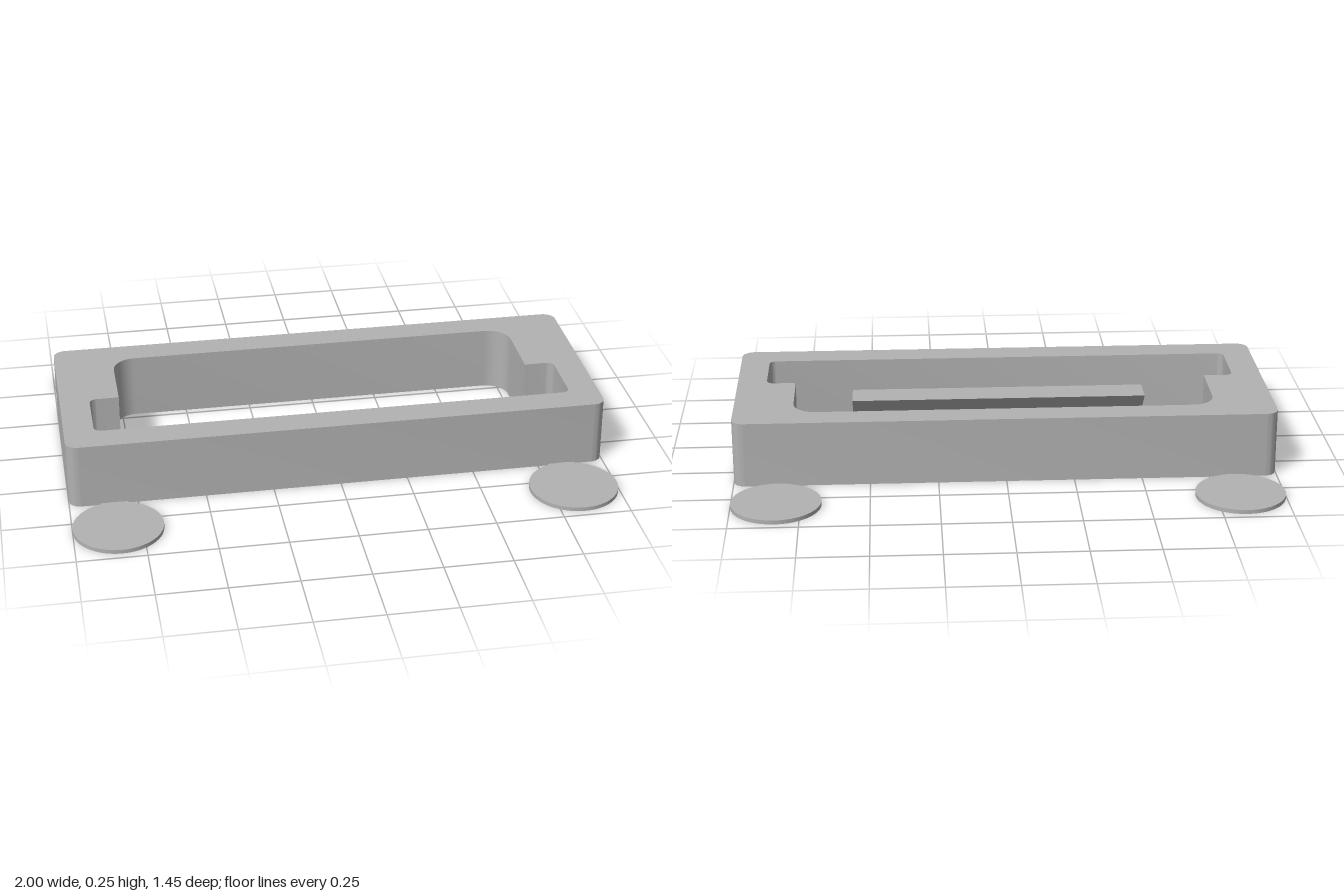
import * as THREE from 'three';
import { toCreasedNormals } from 'three/addons/utils/BufferGeometryUtils.js';

const HALF_DEPTH = 0.384;
const HEIGHT = 0.245;

// Trace a closed outline from [x, z, cornerRadius] points, rounding each corner
function roundedOutline(path, points) {
  const n = points.length;
  points.forEach(([x, z, r], i) => {
    const corner = new THREE.Vector2(x, -z);
    const toward = ([px, pz]) =>
      new THREE.Vector2(px, -pz).sub(corner).setLength(r).add(corner);
    const a = r ? toward(points[(i + n - 1) % n]) : corner;
    const b = r ? toward(points[(i + 1) % n]) : corner;
    if (i === 0) path.moveTo(a.x, a.y);
    else path.lineTo(a.x, a.y);
    if (r) {
      // Cubic handles approximating a quarter circle
      const c1 = a.clone().lerp(corner, 0.5523);
      const c2 = b.clone().lerp(corner, 0.5523);
      path.bezierCurveTo(c1.x, c1.y, c2.x, c2.y, b.x, b.y);
    }
  });
  path.closePath();
  return path;
}

export function createModel() {
  const group = new THREE.Group();
  const grey = new THREE.MeshStandardMaterial({ color: 0xb2b2b2 });
  grey.name = 'grey plastic';

  const add = (name, geometry, x = 0, y = 0, z = 0) => {
    const mesh = new THREE.Mesh(geometry, grey);
    mesh.name = name;
    mesh.position.set(x, y, z);
    group.add(mesh);
    return mesh;
  };

  // Frame: rounded block with a stepped opening right through it
  const outline = roundedOutline(new THREE.Shape(), [
    [-1, HALF_DEPTH, 0.045], [1, HALF_DEPTH, 0.045],
    [1, -HALF_DEPTH, 0.045], [-1, -HALF_DEPTH, 0.045],
  ]);
  outline.holes.push(roundedOutline(new THREE.Path(), [
    [-0.89, 0.273, 0.027], [-0.89, 0.03, 0.027], [-0.78, 0.03, 0],
    [-0.78, -0.277, 0.085], [0.78, -0.277, 0.085], [0.78, 0.03, 0],
    [0.89, 0.03, 0.027], [0.89, 0.273, 0.027],
  ]));
  const frame = new THREE.ExtrudeGeometry(outline, {
    depth: HEIGHT, bevelEnabled: false, curveSegments: 10,
  });
  frame.rotateX(-Math.PI / 2);
  add('frame', toCreasedNormals(frame, 0.6));

  // Ledge: triangular prism along the inside of the front wall
  const wedge = new THREE.Shape([
    new THREE.Vector2(-0.274, 0), new THREE.Vector2(-0.274, 0.12),
    new THREE.Vector2(-0.15, 0.12),
  ]);
  const ledge = new THREE.ExtrudeGeometry(wedge, { depth: 1.14, bevelEnabled: false });
  ledge.rotateY(Math.PI / 2); // profile x becomes -z, length runs along +x
  add('ledge', ledge, -0.57);

  // Corner pads, each joined to the frame by a thin tab
  const disc = new THREE.CylinderGeometry(0.163, 0.163, 0.015, 64);
  const tab = new THREE.BoxGeometry(0.1, 0.006, 0.05);
  for (const sx of [-1, 1]) {
    for (const sz of [-1, 1]) {
      const where = (sz > 0 ? 'front' : 'back') + (sx > 0 ? 'Left' : 'Right');
      add(where + 'Pad', disc, sx * 0.837, 0.0075, sz * 0.56);
      add(where + 'Tab', tab, sx * 0.837, 0.0031, sz * 0.4);
    }
  }
  return group;
}
